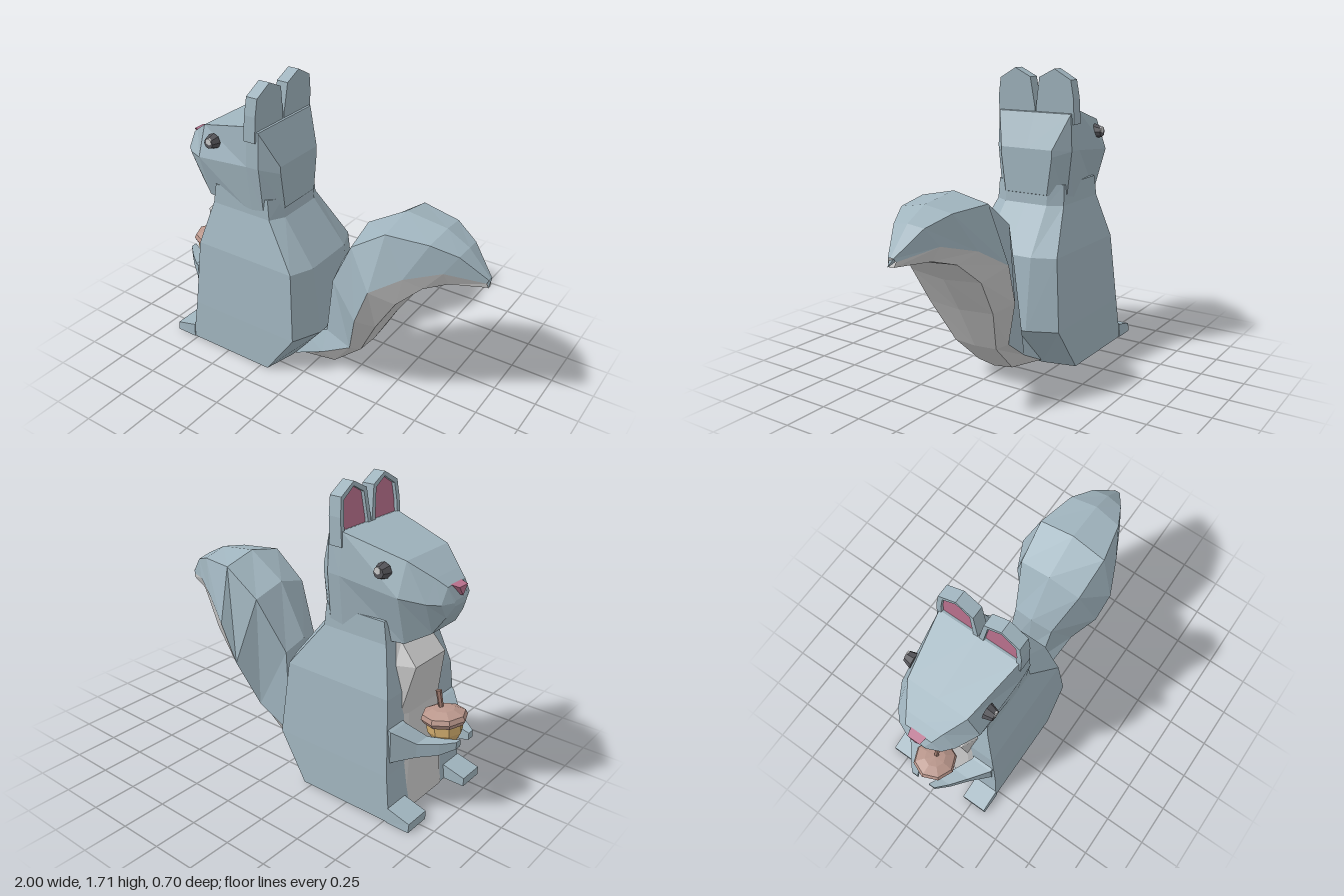
import * as THREE from 'three';

const mat = (color, open) => new THREE.MeshStandardMaterial({
  color, flatShading: true, side: open ? THREE.DoubleSide : THREE.FrontSide });
const FUR = 0xa0b4be, GREY = 0xcccccc, PINK = 0xb8708c, DARK = 0x55555a;

// Skin rows of points; closed rows become a capped solid, open rows a sheet
function loft(name, rows, color, closed = true) {
  const tris = [], n = rows[0].length, m = closed ? n : n - 1;
  for (let i = 0; i < rows.length - 1; i++) {
    for (let j = 0; j < m; j++) {
      const k = (j + 1) % n, a = rows[i][j], b = rows[i][k], c = rows[i + 1][k], d = rows[i + 1][j];
      tris.push([a, b, c], [a, c, d]);
    }
  }
  if (closed) {
    const first = rows[0], last = rows[rows.length - 1];
    for (let j = 1; j < n - 1; j++) {
      tris.push([first[0], first[j + 1], first[j]], [last[0], last[j], last[j + 1]]);
    }
    // Turn the solid outward if its signed volume is negative
    let volume = 0;
    for (const [a, b, c] of tris) {
      volume += new THREE.Vector3(...a).dot(new THREE.Vector3(...b).cross(new THREE.Vector3(...c)));
    }
    if (volume < 0) tris.forEach(t => t.reverse());
  }
  const geo = new THREE.BufferGeometry();
  geo.setAttribute('position', new THREE.Float32BufferAttribute(tris.flat(2), 3));
  geo.computeVertexNormals();
  const mesh = new THREE.Mesh(geo, mat(color, !closed));
  mesh.name = name;
  return mesh;
}

// Complete a half section by mirroring it across z = 0
function mirror(half) {
  const other = half.filter(p => p[2] > 0).map(([x, y, z]) => [x, y, -z]).reverse();
  return half[0][2] === 0 ? [...half, ...other] : [...other, ...half];
}
// Full-width open strip running from -z to +z through a centre point
const strip = half => [...half.slice(1).reverse().map(([x, y, z]) => [x, y, -z]), ...half];

function add(group, name, geo, color, x, y, z) {
  const mesh = new THREE.Mesh(geo, mat(color));
  mesh.name = name;
  mesh.position.set(x, y, z);
  group.add(mesh);
  return mesh;
}

export function createModel() {
  const g = new THREE.Group();
  g.name = 'squirrel';

  // Body: height, front x, side corner x, back x, half width, back half width
  g.add(loft('body', [
    [0, -0.78, -0.2, -0.15, 0.345, 0.15],
    [0.26, -0.745, -0.02, 0.06, 0.33, 0.16],
    [0.68, -0.71, -0.05, 0.01, 0.295, 0.16],
    [0.94, -0.64, -0.24, -0.19, 0.225, 0.14],
    [1.06, -0.62, -0.25, -0.2, 0.22, 0.14],
  ].map(([y, f, s, b, w, bw]) => mirror([[f, y, 0], [f, y, w], [s, y, w], [b, y, bw], [b, y, 0]])), FUR));

  // Belly: height, front x, rim x, half width
  g.add(loft('belly', [
    [0, -0.785, -0.77, 0.18], [0.3, -0.755, -0.73, 0.19], [0.55, -0.735, -0.71, 0.18],
    [0.82, -0.765, -0.67, 0.18], [0.93, -0.66, -0.63, 0.16],
  ].map(([y, f, r, w]) => strip([[f, y, 0], [f, y, w * 0.75], [r, y, w]])), GREY, false));

  // Head: x, top y, top half width, cheek y, cheek half width, bottom y, bottom half width
  g.add(loft('head', [
    [-0.915, 1.2, 0.05, 1.19, 0.06, 1.17, 0.05],
    [-0.885, 1.27, 0.08, 1.19, 0.13, 1.11, 0.08],
    [-0.83, 1.31, 0.11, 1.195, 0.18, 1.02, 0.11],
    [-0.71, 1.39, 0.18, 1.215, 0.245, 0.95, 0.17],
    [-0.36, 1.48, 0.24, 1.25, 0.255, 0.94, 0.22],
    [-0.28, 1.46, 0.24, 1.25, 0.25, 0.96, 0.22],
    [-0.19, 1.26, 0.17, 1.22, 0.17, 1.0, 0.14],
  ].map(([x, t, tw, c, cw, b, bw]) =>
    mirror([[x, t, 0], [x, t, tw], [x, c, cw], [x, b, bw], [x, b, 0]])), FUR));

  // Tail: upper ridge, side edge and underside as [x, y], then half width
  const tail = [
    [[-0.1, 0.2], [-0.13, 0.02], [-0.15, 0], 0.15],
    [[0.07, 0.27], [0.07, 0.12], [0.14, 0.045], 0.16],
    [[0.1, 0.68], [0.28, 0.26], [0.33, 0.23], 0.19],
    [[0.27, 0.99], [0.37, 0.54], [0.47, 0.48], 0.29],
    [[0.5, 1.13], [0.46, 0.77], [0.6, 0.68], 0.31],
    [[0.74, 1.1], [0.62, 0.87], [0.72, 0.8], 0.235],
    [[0.87, 1.03], [0.8, 0.92], [0.82, 0.83], 0.14],
    [[1, 0.89], [0.99, 0.87], [1, 0.84], 0.025],
  ];
  g.add(loft('tailTop', tail.map(([t, s, , w]) => strip([[...t, 0],
    [t[0] * 0.87 + s[0] * 0.13, t[1] * 0.87 + s[1] * 0.13, w * 0.68], [...s, w]])), FUR, false));
  g.add(loft('tailUnderside', tail.map(([, s, b, w]) => strip([[...b, 0],
    [b[0] * 0.85 + s[0] * 0.15, b[1] * 0.85 + s[1] * 0.15, w * 0.72], [...s, w]])), GREY, false));
  const tip = tail[7];
  g.add(loft('tailTip', [[0, 1], [1, 2]].map(([a, b]) =>
    [[...tip[a], -0.02], [...tip[b], 0.02]]), FUR, false));

  // Ear outline in z and y, scaled about its middle for the recessed inner ear
  const outline = [[0.004, 1.4], [0.004, 1.49], [0.03, 1.66], [0.13, 1.71], [0.235, 1.65], [0.25, 1.55], [0.253, 1.4]];
  const frontX = y => -0.365 + (y - 1.48) * 0.08;
  const inset = ([z, y], dx) => [frontX(y) + dx, 1.53 + (y - 1.53) * 0.86, 0.13 + (z - 0.13) * 0.78];

  for (const s of [1, -1]) {
    const side = new THREE.Group();
    side.name = s > 0 ? 'leftParts' : 'rightParts';
    const flip = p => [p[0], p[1], p[2] * s];
    const part = (name, rows, color, closed) =>
      side.add(loft(name, rows.map(r => r.map(flip)), color, closed));

    // Ear shell with a rim around a recessed pink panel
    const rim = outline.map(p => inset(p, 0)), floor = outline.map(p => inset(p, 0.025));
    part('ear', [floor, rim, outline.map(([z, y]) => [frontX(y), y, z]),
      outline.map(([z, y]) => [-0.29 + (y - 1.48) * 0.06, y, z])], FUR);
    const panel = floor.map(([x, y, z]) => [x - 0.006, y, z]);
    part('innerEar', [[panel[0], panel[1], panel[2], panel[3]], [panel[6], panel[5], panel[4], panel[3]]], PINK, false);

    // Foot wedge
    part('foot', [[-0.905, 0.05], [-0.77, 0.085]].map(([x, h]) =>
      [[x, 0, 0.19], [x, h, 0.19], [x, h, 0.345], [x, 0, 0.35]]), FUR);

    // Arm reaching inward: x, low y, high y, inner z, outer z
    part('arm', [
      [-0.66, 0.31, 0.55, 0.17, 0.305], [-0.74, 0.33, 0.51, 0.17, 0.3],
      [-0.84, 0.36, 0.44, 0.11, 0.21], [-0.93, 0.375, 0.44, 0.07, 0.14], [-0.995, 0.41, 0.45, 0.04, 0.08],
    ].map(([x, a, b, i, o]) => [[x, a, i], [x, b, i], [x, b, o], [x, a, o]]), FUR);

    // Eye with a pale glint
    const eye = new THREE.CylinderGeometry(0.03, 0.046, 0.05, 8).rotateX(s * Math.PI / 2);
    add(side, 'eye', eye, DARK, -0.61, 1.33, s * 0.245);
    const glint = new THREE.CylinderGeometry(0.02, 0.02, 0.01, 6).rotateX(Math.PI / 2);
    add(side, 'eyeGlint', glint, GREY, -0.605, 1.342, s * 0.268);
    g.add(side);
  }

  // Triangular nose
  g.add(loft('nose', [[-0.925, 0.75], [-0.87, 1]].map(([x, k]) =>
    [[x, 1.215, 0], [x, 1.24 + 0.035 * k, 0.05 * k], [x, 1.24 + 0.035 * k, -0.05 * k]]), PINK));

  // Acorn: nut, cap and stem, tipped slightly
  const acorn = new THREE.Group();
  acorn.name = 'acorn';
  const turned = pts => new THREE.LatheGeometry(pts.map(p => new THREE.Vector2(...p)), 8);
  add(acorn, 'nut', turned([[0, -0.14], [0.05, -0.12], [0.095, -0.05], [0.1, 0.03]]), 0xd6b070, 0, 0, 0);
  add(acorn, 'cap', turned([[0, 0], [0.11, 0], [0.125, 0.025], [0.115, 0.05], [0.06, 0.075], [0, 0.08]]), 0xb8958a, 0, 0, 0);
  add(acorn, 'stem', new THREE.CylinderGeometry(0.016, 0.013, 0.11, 6), 0xa07c70, 0.02, 0.115, 0).rotation.z = -0.1;
  acorn.position.set(-0.87, 0.495, 0);
  acorn.rotation.z = -0.13;
  g.add(acorn);

  return g;
}
